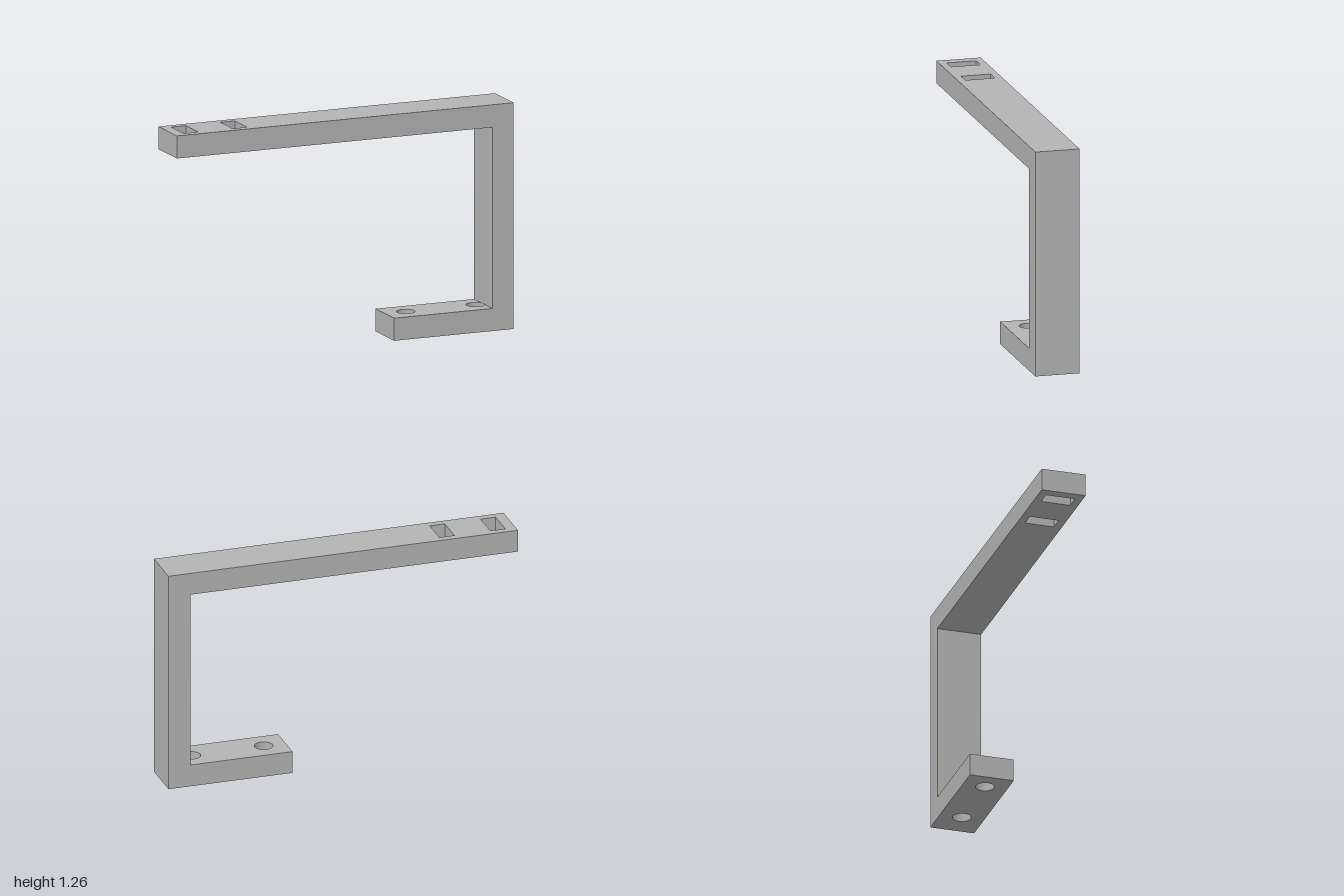
import * as THREE from 'three';

const DEPTH = 0.25, THICK = 0.126, HEIGHT = 1.262;

// Rectangle outline in plan, usable as a shape or as a hole
function rect(path, x0, x1, halfZ) {
  path.moveTo(x0, -halfZ);
  path.lineTo(x1, -halfZ);
  path.lineTo(x1, halfZ);
  path.lineTo(x0, halfZ);
  path.closePath();
  return path;
}

// Horizontal bar with holes cut through its thickness
function bar(name, x0, x1, y, holes, material) {
  const shape = rect(new THREE.Shape(), x0, x1, DEPTH / 2);
  shape.holes.push(...holes);
  const geometry = new THREE.ExtrudeGeometry(shape, { depth: THICK, bevelEnabled: false, curveSegments: 32 });
  geometry.rotateX(-Math.PI / 2);
  const mesh = new THREE.Mesh(geometry, material);
  mesh.name = name;
  mesh.position.y = y;
  return mesh;
}

export function createModel() {
  const group = new THREE.Group();
  group.name = 'bracket';
  const grey = new THREE.MeshStandardMaterial({ color: 0xb3b3b3 });
  grey.name = 'grey';

  // Long upper arm with two rectangular slots near its free end
  const slots = [-0.898, -0.607].map(x => rect(new THREE.Path(), x - 0.043, x + 0.043, 0.083));
  group.add(bar('upperArm', -1, 1, HEIGHT - THICK, slots, grey));

  // Short foot with two round screw holes
  const screwHoles = [0.414, 0.828].map(x => new THREE.Path().absarc(x, 0, 0.051, 0, Math.PI * 2, true));
  group.add(bar('foot', 0.29, 1, 0, screwHoles, grey));

  // Upright joining the two
  const postHeight = HEIGHT - 2 * THICK;
  const post = new THREE.Mesh(new THREE.BoxGeometry(THICK, postHeight, DEPTH), grey);
  post.name = 'post';
  post.position.set(1 - THICK / 2, HEIGHT / 2, 0);
  group.add(post);

  return group;
}
